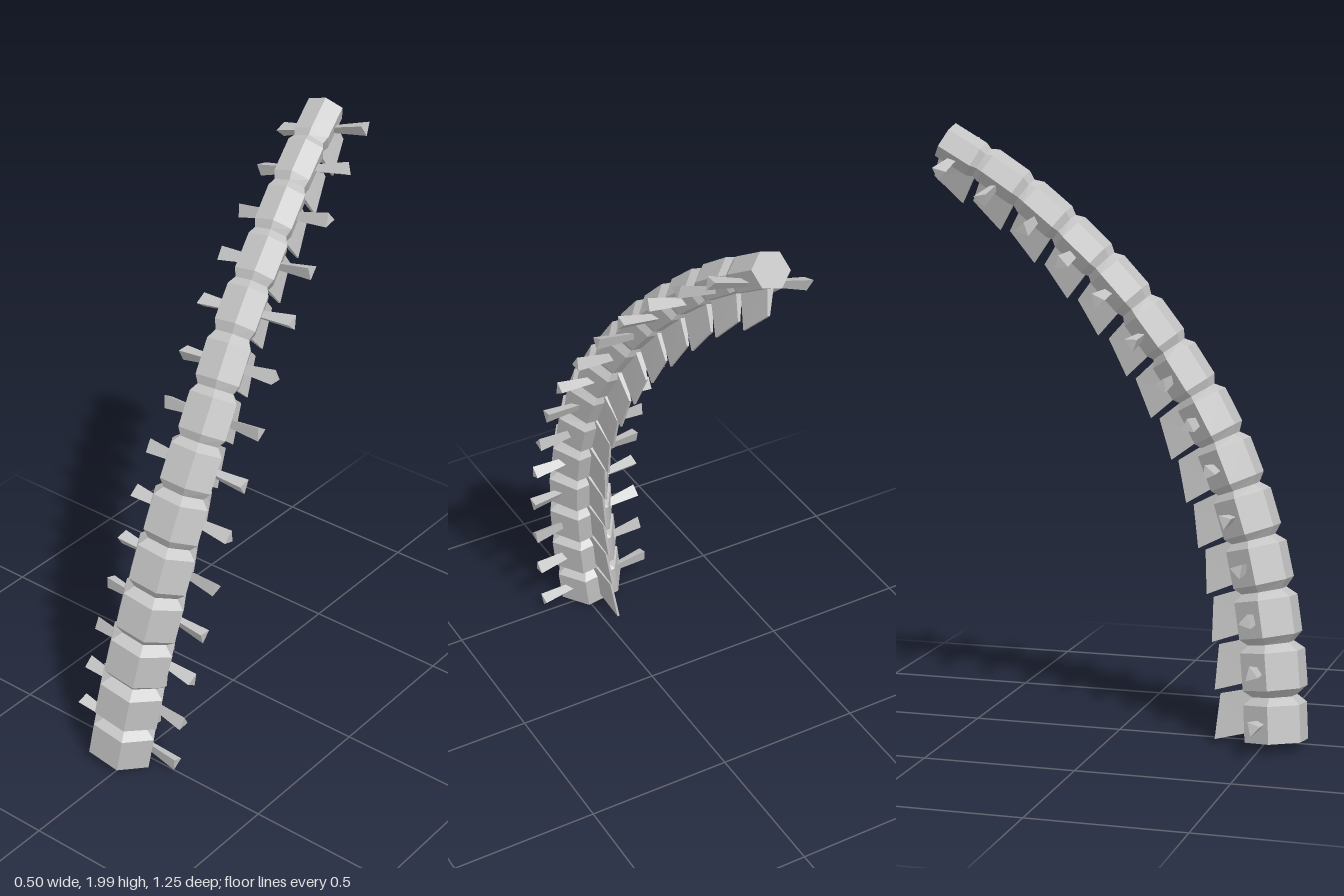
import * as THREE from 'three';

const V = (x, y, z) => new THREE.Vector3(x, y, z);
const lerp = THREE.MathUtils.lerp;

// Centre of each vertebra's pair of side spurs, bottom to top
const PATH = [
  [-0.04, 0.083, 0.508], [-0.015, 0.25, 0.495], [0.008, 0.415, 0.47], [0.03, 0.58, 0.436],
  [0.045, 0.74, 0.39], [0.055, 0.897, 0.332], [0.06, 1.048, 0.262], [0.058, 1.19, 0.175],
  [0.045, 1.33, 0.08], [0.03, 1.468, -0.03], [0.015, 1.59, -0.148], [-0.005, 1.705, -0.27],
  [-0.03, 1.81, -0.4], [-0.055, 1.895, -0.535],
].map((p) => V(...p));
const RADII = [0.122, 0.125, 0.122, 0.118, 0.113, 0.107, 0.1, 0.093, 0.086, 0.081, 0.078, 0.074, 0.071, 0.07];
const LAST = PATH.length - 1;

// Closed solid through rings of points; rings turn clockwise seen from the far end
function loft(rings) {
  const pos = [];
  const tri = (...pts) => pts.forEach((p) => pos.push(p.x, p.y, p.z));
  const n = rings[0].length;
  for (let i = 0; i < rings.length - 1; i++) {
    for (let k = 0; k < n; k++) {
      const a = rings[i][k], b = rings[i][(k + 1) % n];
      const c = rings[i + 1][k], d = rings[i + 1][(k + 1) % n];
      tri(a, c, b);
      tri(b, c, d);
    }
  }
  const first = rings[0], last = rings[rings.length - 1];
  for (let k = 1; k < n - 1; k++) {
    tri(first[0], first[k], first[k + 1]);
    tri(last[0], last[k + 1], last[k]);
  }
  const g = new THREE.BufferGeometry();
  g.setAttribute('position', new THREE.Float32BufferAttribute(pos, 3));
  g.computeVertexNormals();
  return g;
}

// Regular ring in the plane of u and v
function ring(centre, u, v, sides, ru, rv, roll = 0) {
  return Array.from({ length: sides }, (_, k) => {
    const a = roll + (k / sides) * Math.PI * 2;
    return centre.clone().addScaledVector(u, Math.cos(a) * ru).addScaledVector(v, Math.sin(a) * rv);
  });
}

// Up, side and front directions of a vertebra, with its body centre
function frame(i) {
  const up = PATH[Math.min(i + 1, LAST)].clone().sub(PATH[Math.max(i - 1, 0)]).normalize();
  const side = V(up.y, -up.x, 0).normalize();
  const front = side.clone().cross(up);
  return { up, side, front, root: PATH[i], body: PATH[i].clone().addScaledVector(front, 0.03) };
}

export function createModel() {
  const group = new THREE.Group();
  const bone = new THREE.MeshStandardMaterial({ color: 0xc4c4c4 });
  bone.name = 'bone grey';
  bone.flatShading = true;
  const add = (name, geometry) => {
    const mesh = new THREE.Mesh(geometry, bone);
    mesh.name = name;
    group.add(mesh);
  };

  const frames = PATH.map((_, i) => frame(i));
  const column = [];

  frames.forEach((f, i) => {
    const k = i / LAST, r = RADII[i];
    const at = (s, t, b) => f.body.clone()
      .addScaledVector(f.side, s).addScaledVector(f.up, t).addScaledVector(f.front, -b);

    // Hexagonal vertebra body, then the pinched neck above it
    for (const t of [-0.06, 0.06]) {
      column.push(ring(at(0, t, 0), f.side, f.front, 6, r, r * 0.87));
    }
    if (i < LAST) {
      const next = frames[i + 1];
      const mid = f.body.clone().lerp(next.body, 0.5);
      const side = f.side.clone().add(next.side).normalize();
      const front = f.front.clone().add(next.front).normalize();
      const rn = ((r + RADII[i + 1]) / 2) * lerp(0.7, 0.86, k);
      column.push(ring(mid, side, front, 6, rn, rn * 0.87));
    }

    // Down-swept rear fin
    const section = (w, lo, bLo, hi, bHi) => [at(w, lo, bLo), at(w, hi, bHi), at(-w, hi, bHi), at(-w, lo, bLo)];
    const rootDepth = lerp(0.07, 0.035, k);
    add('rearFin', loft([
      section(0.012, lerp(-0.03, -0.08, k), rootDepth, lerp(0.11, 0.055, k), rootDepth),
      section(0.004, lerp(-0.055, -0.09, k), lerp(0.205, 0.16, k), lerp(0.094, 0.035, k), lerp(0.18, 0.13, k)),
    ]));

    // Flared three-sided spur on each side
    for (const sign of [1, -1]) {
      const dir = f.side.clone().multiplyScalar(sign);
      const u = dir.clone().cross(f.front);
      const roll = i * 0.55 + (sign > 0 ? 0.3 : 1.4);
      const slice = (d, rad) => ring(f.root.clone().addScaledVector(dir, d), u, f.front, 3, rad, rad * 0.85, roll);
      add(sign > 0 ? 'leftSpur' : 'rightSpur', loft([slice(r * 0.6, 0.016), slice(lerp(0.207, 0.175, k), 0.028)]));
    }
  });

  add('vertebralColumn', loft(column));
  return group;
}
